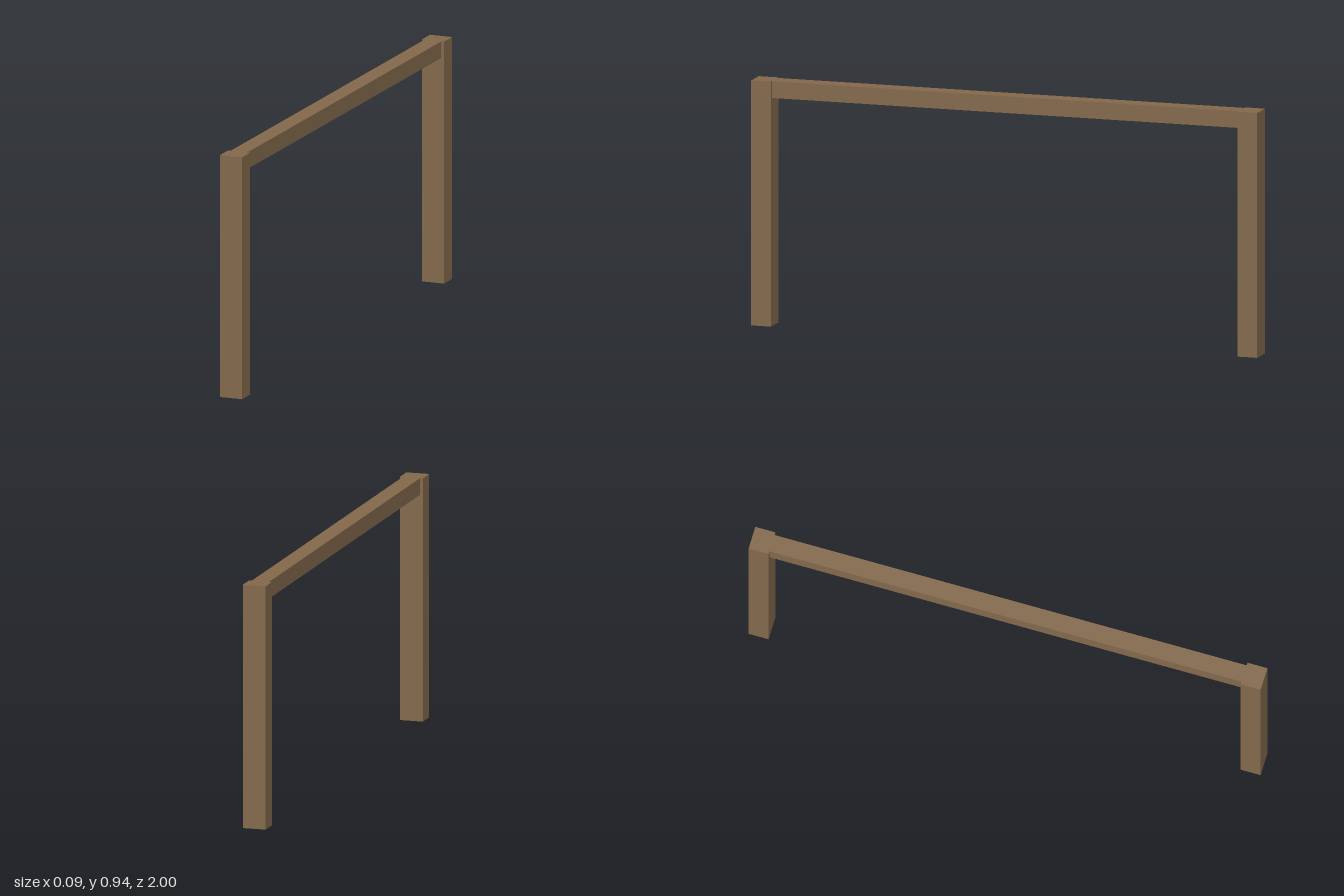
import * as THREE from 'three';

const HEIGHT = 0.935;
const POST_WIDTH = 0.09, POST_DEPTH = 0.078;
const BEAM_WIDTH = 0.068, BEAM_HEIGHT = 0.064;

export function createModel() {
  const group = new THREE.Group();
  group.name = 'woodenFrame';

  const wood = new THREE.MeshStandardMaterial({ color: 0x82684b });
  wood.name = 'brown wood';

  const addBox = (name, size, position) => {
    const mesh = new THREE.Mesh(new THREE.BoxGeometry(...size), wood);
    mesh.name = name;
    mesh.position.set(...position);
    group.add(mesh);
  };

  // Upright posts at both ends
  for (const [name, side] of [['frontPost', 1], ['backPost', -1]]) {
    addBox(name, [POST_WIDTH, HEIGHT, POST_DEPTH], [0, HEIGHT / 2, side * (1 - POST_DEPTH / 2)]);
  }

  // Crossbeam between the posts, flush with their tops
  addBox('crossbeam', [BEAM_WIDTH, BEAM_HEIGHT, 2 - 2 * POST_DEPTH], [0, HEIGHT - BEAM_HEIGHT / 2, 0]);

  return group;
}
